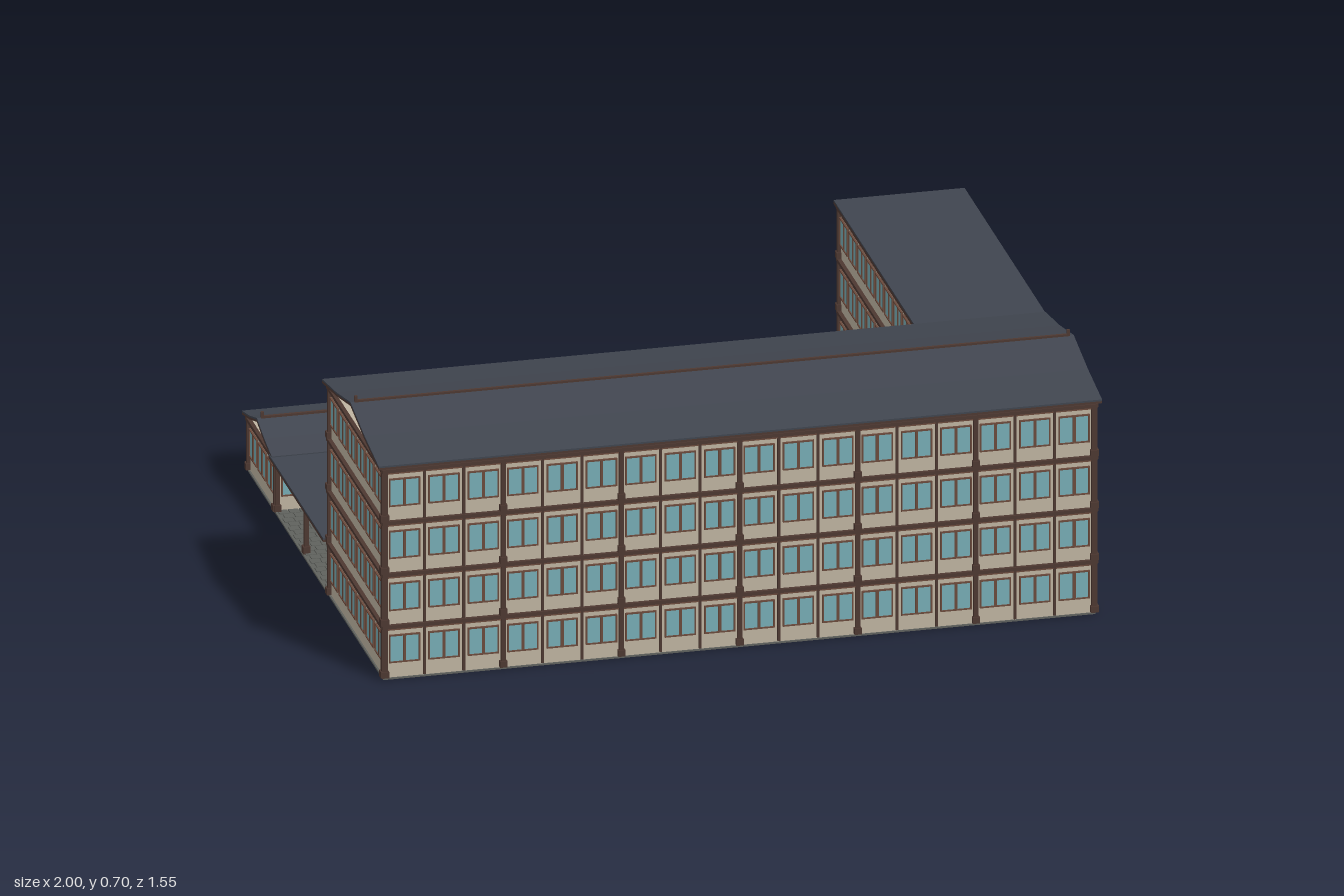
import * as THREE from 'three';
import { mergeGeometries } from 'three/addons/utils/BufferGeometryUtils.js';

const material = (name, color) => {
  const m = new THREE.MeshStandardMaterial({ color });
  m.name = name;
  return m;
};

const FLOOR = 0.151;   // storey height
const BASE = 0.008;    // top of the paving slab
const BX = 0.1089;     // bay width on the long fronts
const BZ = 0.1013;     // bay width on the sides

export function createModel() {
  const model = new THREE.Group();
  model.name = 'courtyardBuilding';
  const mats = {
    wall: material('plaster', 0xbfb4a1),
    glass: material('glass', 0x77adb5),
    frame: material('window timber', 0x6b4a3c),
    timber: material('dark timber', 0x4d3831),
    slate: material('slate', 0x40454f),
    stone: material('paving stone', 0x5f615d),
  };

  const box = (w, h, d, x, y, z) => new THREE.BoxGeometry(w, h, d).translate(x, y, z);
  const add = (name, mat, geometry, parent = model) => {
    const mesh = new THREE.Mesh(geometry, mats[mat]);
    mesh.name = name;
    parent.add(mesh);
    return mesh;
  };
  // Box given by its limits
  const block = (name, mat, x0, x1, y0, y1, z0, z1, parent = model) =>
    add(name, mat, box(x1 - x0, y1 - y0, z1 - z0, (x0 + x1) / 2, (y0 + y1) / 2, (z0 + z1) / 2), parent);

  // One wall front: local x runs along the wall, +z points outwards.
  function facade(name, x, z, turn, bays, pitch, floors, { posts = false, doors = false, open = () => false } = {}) {
    const g = new THREE.Group();
    g.name = name;
    g.position.set(x, 0, z);
    g.rotation.y = turn;
    const panes = [], frames = [], timbers = [];
    const width = bays * pitch;
    for (let f = 0; f < floors; f++) {
      const y0 = BASE + f * FLOOR;
      // floor band with a thin moulding below it
      timbers.push(box(width + 0.018, 0.01, 0.018, 0, y0 + FLOOR - 0.005, 0.002));
      frames.push(box(width, 0.004, 0.008, 0, y0 + FLOOR - 0.014, 0.002));
      for (let b = 0; b <= bays; b++) {
        const px = -width / 2 + b * pitch;
        const thick = b % 3 === 0;
        const end = b === 0 || b === bays;
        // posts on the bay lines, heavier ones with a foot block at every third
        if ((posts || end) && !open(f, b)) {
          const w = thick || end ? 0.013 : 0.007;
          timbers.push(box(w, FLOOR, w, px, y0 + FLOOR / 2, 0.003));
          if (thick) timbers.push(box(0.02, 0.018, 0.018, px, y0 + 0.009, 0.004));
        }
        if (b === bays || open(f, b)) continue;
        const cx = px + pitch / 2;
        const isDoor = doors && f === 0 && b % 3 === 1;
        const w = isDoor ? 0.07 : 0.082, bottom = isDoor ? 0 : 0.042, top = 0.119;
        const h = top - bottom, cy = y0 + (top + bottom) / 2;
        if (isDoor) frames.push(box(w, h, 0.005, cx, cy, 0.001));
        else panes.push(box(w, h, 0.005, cx, cy, 0));
        const trim = isDoor ? timbers : frames;
        for (const s of [-1, 1]) {
          trim.push(box(0.004, h, 0.009, cx + s * w / 2, cy, 0.001));
          trim.push(box(w + 0.004, 0.004, 0.009, cx, cy + s * h / 2, 0.001));
        }
        trim.push(box(0.008, h, 0.008, cx, cy, 0.001));
      }
    }
    add('windowPanes', 'glass', mergeGeometries(panes), g);
    add('windowFrames', 'frame', mergeGeometries(frames), g);
    add('postsAndBands', 'timber', mergeGeometries(timbers), g);
    model.add(g);
  }

  // Thin open gable roof, ridge along x, with a kink halfway down each slope
  function gableRoof(name, x0, x1, zMid, half, eave, rise) {
    const g = new THREE.Group();
    g.name = name;
    const line = [[-half, 0], [-half / 2, rise * 0.42], [0, rise], [half / 2, rise * 0.42], [half, 0]];
    const layer = (lo, hi) => {
      const pts = line.map(([s, y]) => new THREE.Vector2(s, eave + y + lo));
      pts.push(...line.map(([s, y]) => new THREE.Vector2(s, eave + y + hi)).reverse());
      return new THREE.ExtrudeGeometry(new THREE.Shape(pts), { depth: x1 - x0, bevelEnabled: false })
        .rotateY(Math.PI / 2).translate(x0, 0, zMid);
    };
    add('roofBoards', 'timber', layer(0, 0.006), g);
    add('roofSlates', 'slate', layer(0.006, 0.011), g);
    const top = eave + rise;
    block('ridgeBeam', 'timber', x0 + 0.012, x1 - 0.012, top, top + 0.016, zMid - 0.004, zMid + 0.004, g);
    for (const x of [x0 + 0.015, x1 - 0.015])
      block('ridgeFinial', 'timber', x - 0.004, x + 0.004, top, top + 0.028, zMid - 0.004, zMid + 0.004, g);
    model.add(g);
  }

  // Flat roof with a timber underside
  function flatRoof(name, x0, x1, z0, z1, y) {
    block(name + 'Boards', 'timber', x0, x1, y, y + 0.007, z0, z1);
    block(name + 'Slates', 'slate', x0, x1, y + 0.007, y + 0.012, z0, z1);
  }

  const X = 0.98, Z = 0.76, top = BASE + 4 * FLOOR;
  const inX = X - 3 * BX, inZ = Z - 6 * BZ, hutZ = -Z + 3 * BZ;

  // Ground slab and cobbles
  block('groundSlab', 'stone', -X - 0.005, X + 0.005, 0, BASE - 0.003, -Z - 0.003, Z + 0.003);
  const cobbles = [];
  const step = 0.03;
  for (let j = 0; j < 30; j++)
    for (let i = 0; i < 65; i++)
      cobbles.push(box(step - 0.003, 0.004, step - 0.003,
        -X + 0.015 + i * step + (j % 2) * 0.008, BASE - 0.002, -Z + 0.016 + j * step));
  add('cobbles', 'stone', mergeGeometries(cobbles));

  // Main block
  block('mainWalls', 'wall', -X, X, BASE - 0.003, top, inZ, Z);
  facade('mainFront', 0, Z, 0, 18, BX, 4, { posts: true });
  facade('mainCourtFront', (inX - X) / 2, inZ, Math.PI, 15, BX, 4, { posts: true, doors: true });
  facade('mainLeftEnd', -X, (Z + inZ) / 2, -Math.PI / 2, 6, BZ, 4);
  gableRoof('mainRoof', -1, 1, 0.455, 0.32, top + 0.003, 0.06);

  // Side wing standing over an open passage
  block('wingUpperWalls', 'wall', inX, X, BASE + FLOOR - 0.004, top, -Z, inZ);
  block('wingGroundWalls', 'wall', inX, X, BASE - 0.003, BASE + FLOOR, -Z, hutZ);
  facade('wingOuterFront', X, 0, Math.PI / 2, 15, BZ, 4,
    { open: (f, b) => f === 0 && b > 5 && b < 12 });
  facade('wingCourtFront', inX, (inZ - Z) / 2, -Math.PI / 2, 9, BZ, 4,
    { open: (f, b) => f === 0 && b > 2 && b < 9 });
  facade('wingBackEnd', (inX + X) / 2, -Z, Math.PI, 3, BX, 4, { posts: true, doors: true });
  flatRoof('wingRoof', 0.638, 1, -0.775, 0.145, top);

  // Canopy opposite the passage, with posts under both
  flatRoof('canopy', -1, -0.64, hutZ - 0.01, inZ - 0.005, BASE + FLOOR - 0.002);
  for (const x of [-X + 0.006, -inX - 0.006, inX + 0.006, X - 0.006]) {
    block('passagePost', 'timber', x - 0.006, x + 0.006, BASE - 0.003, BASE + FLOOR, -0.156, -0.144);
    block('passagePostFoot', 'timber', x - 0.01, x + 0.01, BASE - 0.003, BASE + 0.018, -0.16, -0.14);
  }

  // Three gate huts along the back
  for (const cx of [-X + 1.5 * BX, -1.5 * BX, inX - 1.5 * BX]) {
    const half = 1.5 * BX, midZ = (hutZ - Z) / 2, wallTop = BASE + FLOOR;
    block('hutWalls', 'wall', cx - half, cx + half, BASE - 0.003, wallTop, -Z, hutZ);
    facade('hutBack', cx, -Z, Math.PI, 3, BX, 1, { posts: true, doors: true });
    facade('hutCourtFront', cx, hutZ, 0, 3, BX, 1, { posts: true, doors: true });
    facade('hutLeftSide', cx + half, midZ, Math.PI / 2, 3, BZ, 1);
    facade('hutRightSide', cx - half, midZ, -Math.PI / 2, 3, BZ, 1);
    gableRoof('hutRoof', cx - half - 0.018, cx + half + 0.014, midZ, 0.168, wallTop + 0.002, 0.045);
  }

  return model;
}
